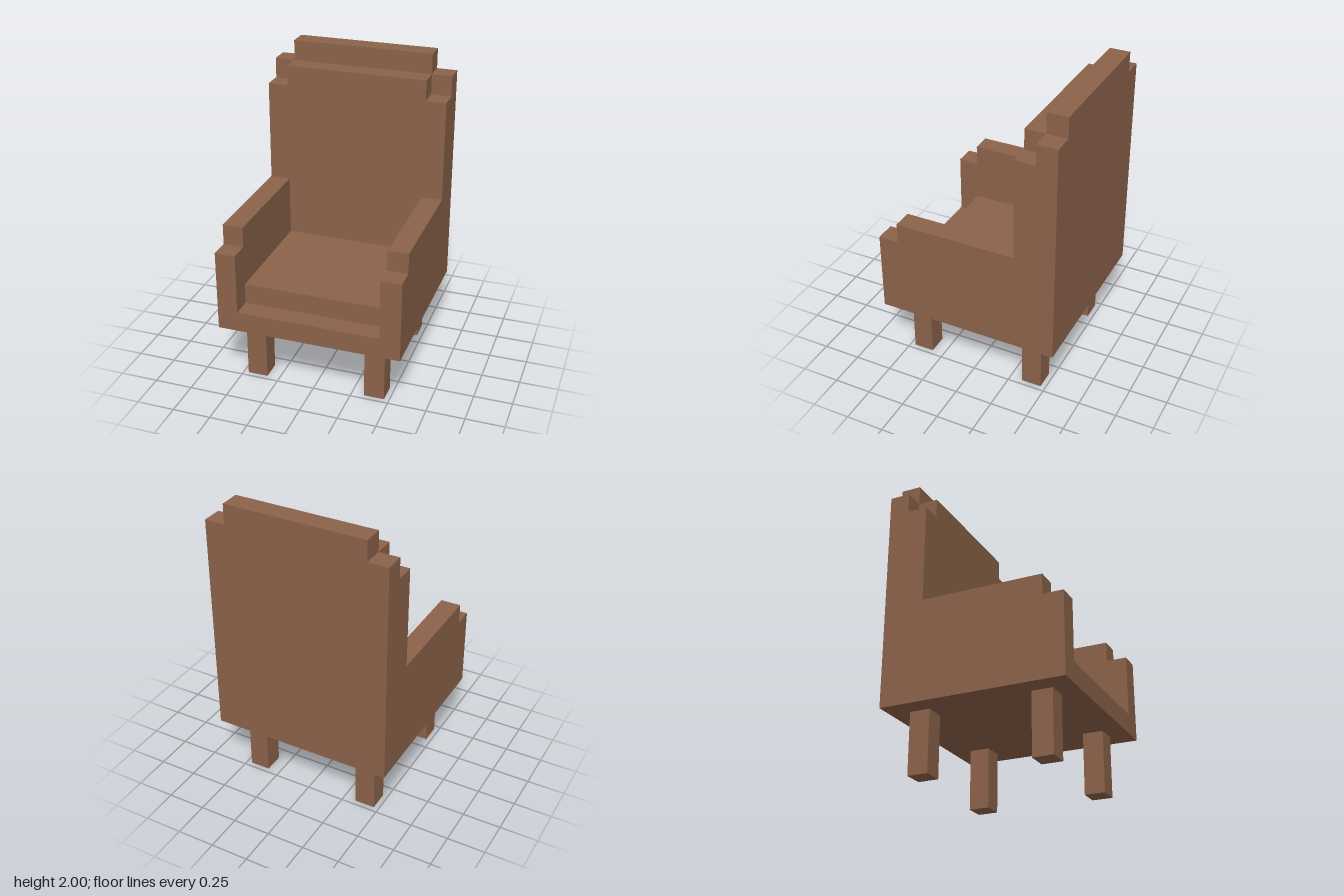
import * as THREE from 'three';

// Everything sits on a grid of fifteen steps to the full height
const U = 2 / 15;

export function createModel() {
  const chair = new THREE.Group();
  chair.name = 'armchair';
  const brown = new THREE.MeshStandardMaterial({ color: 0x8b6249 });
  brown.name = 'brown';

  const add = (name, geometry, x = 0, y = 0, z = 0) => {
    const mesh = new THREE.Mesh(geometry.scale(U, U, U), brown);
    mesh.name = name;
    mesh.position.set(x * U, y * U, z * U);
    chair.add(mesh);
  };
  // Box between two corners, in grid steps
  const block = (name, [x0, y0, z0], [x1, y1, z1]) =>
    add(name, new THREE.BoxGeometry(x1 - x0, y1 - y0, z1 - z0),
      (x0 + x1) / 2, (y0 + y1) / 2, (z0 + z1) / 2);
  // Stepped outline, one step thick
  const slab = (points) => new THREE.ExtrudeGeometry(
    new THREE.Shape(points.map(([a, b]) => new THREE.Vector2(a, b))),
    { depth: 1, bevelEnabled: false });

  // Base and seat cushion
  block('base', [-4.5, 3, -4.5], [4.5, 4, 4.5]);
  block('seatCushion', [-3.5, 4, -2.5], [3.5, 5, 3.5]);

  // Backrest: two stepped layers, the rear one a step taller
  const backLayer = (top) => slab([
    [-4.5, 4], [4.5, 4], [4.5, top - 1], [3.5, top - 1],
    [3.5, top], [-3.5, top], [-3.5, top - 1], [-4.5, top - 1],
  ]);
  add('backrestFront', backLayer(14), 0, 0, -3.5);
  add('backrestRear', backLayer(15), 0, 0, -4.5);

  // Arms: side outline with a lower step at the front
  const arm = () => slab([
    [-2.5, 4], [4.5, 4], [4.5, 7], [3.5, 7], [3.5, 8], [-2.5, 8],
  ]).rotateY(-Math.PI / 2);
  add('leftArm', arm(), 4.5);
  add('rightArm', arm(), -3.5);

  // Four legs
  for (const x of [-3, 3]) {
    for (const z of [-3, 3]) {
      const name = (z > 0 ? 'front' : 'back') + (x > 0 ? 'Left' : 'Right') + 'Leg';
      block(name, [x - 0.5, 0, z - 0.5], [x + 0.5, 3, z + 0.5]);
    }
  }
  return chair;
}
